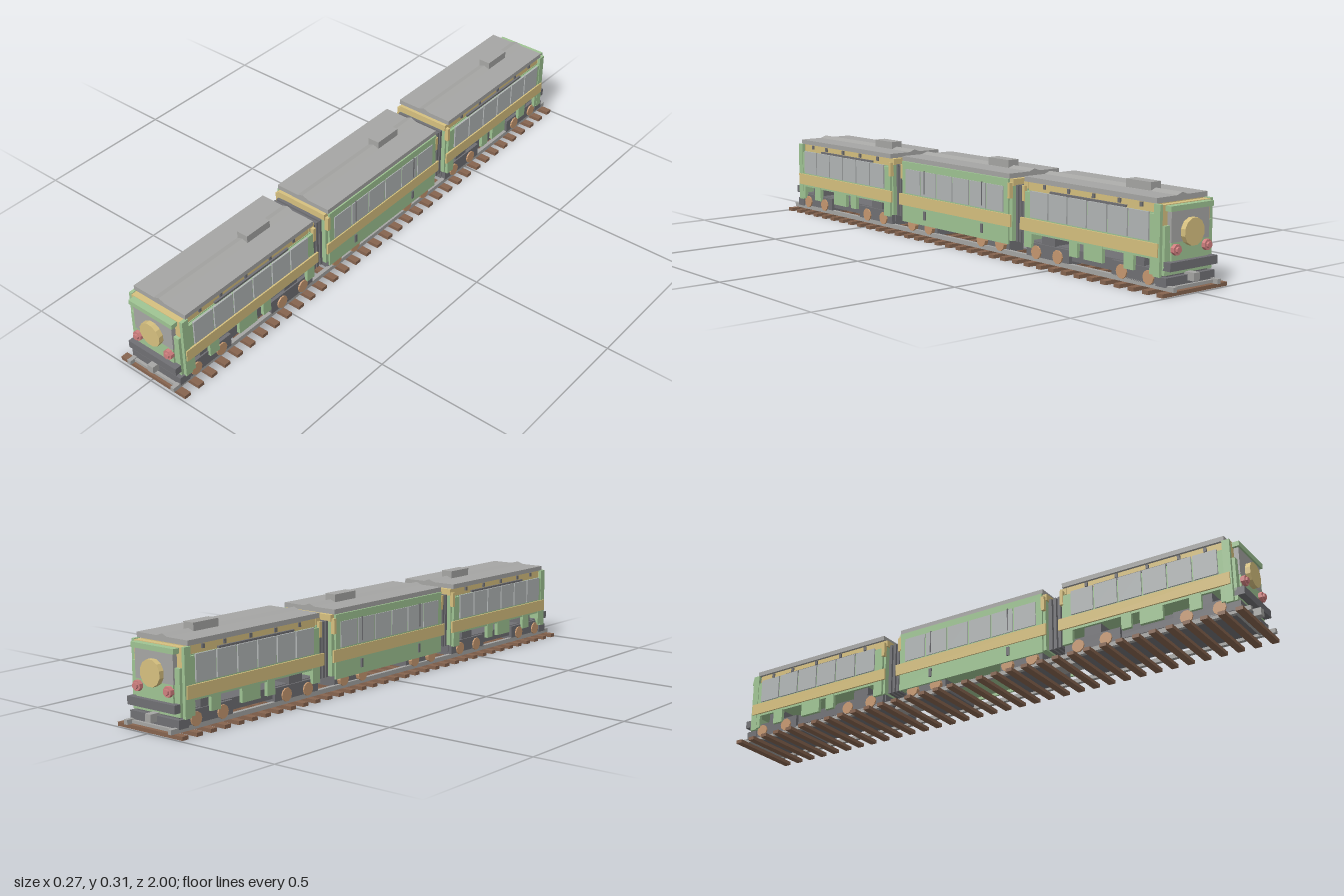
import * as THREE from 'three';

const mat = (name, color) => {
  const m = new THREE.MeshStandardMaterial({ color, flatShading: true });
  m.name = name;
  return m;
};

export function createModel() {
  const green = mat('paleGreen', 0x9fc493), grey = mat('grey', 0xa6a6a4), glass = mat('windowGrey', 0xb2b6b6);
  const dark = mat('darkGrey', 0x707074), tan = mat('tan', 0xd6c07f), brown = mat('brown', 0x86644f);
  const red = mat('red', 0xd07f7f), copper = mat('copper', 0xc69870);
  const root = new THREE.Group();
  root.name = 'tramTrain';

  const add = (parent, name, geo, material, x = 0, y = 0, z = 0) => {
    const m = new THREE.Mesh(geo, material);
    m.name = name;
    m.position.set(x, y, z);
    parent.add(m);
    return m;
  };
  // box given by its min and max on each axis
  const box = (parent, name, material, x0, x1, y0, y1, z0, z1) =>
    add(parent, name, new THREE.BoxGeometry(x1 - x0, y1 - y0, z1 - z0), material,
      (x0 + x1) / 2, (y0 + y1) / 2, (z0 + z1) / 2);
  // same box on both sides of the car
  const pair = (parent, name, material, x0, x1, ...rest) => {
    box(parent, name + 'Left', material, x0, x1, ...rest);
    box(parent, name + 'Right', material, -x1, -x0, ...rest);
  };
  const disc = (parent, name, material, r, depth, sides, x, y, z) => {
    const g = new THREE.CylinderGeometry(r, r, depth, sides);
    g.rotateY(Math.PI / sides).rotateX(Math.PI / 2);
    return add(parent, name, g, material, x, y, z);
  };
  // polygon in x, y pulled along z
  const prism = (parent, name, material, pts, z0, z1) => add(parent, name,
    new THREE.ExtrudeGeometry(new THREE.Shape(pts.map(p => new THREE.Vector2(...p))),
      { depth: z1 - z0, bevelEnabled: false }), material, 0, 0, z0);

  // Track
  const track = new THREE.Group();
  track.name = 'track';
  root.add(track);
  for (let i = 0; i < 35; i++) {
    const z = -0.98 + i * 0.0576;
    box(track, 'sleeper', brown, -0.137, 0.137, 0, 0.012, z - 0.012, z + 0.012);
  }
  pair(track, 'rail', grey, 0.086, 0.1, 0.012, 0.027, -1, 1);

  // Roof with ridge, shared by every car
  const roof = (car) => {
    box(car, 'roof', grey, -0.107, 0.107, 0.263, 0.279, -0.287, 0.287);
    prism(car, 'roofRidge', grey, [[-0.022, 0.279], [0.022, 0.279], [0, 0.287]], -0.287, 0.287);
  };
  const wheels = (car, positions) => {
    for (const z of positions) for (const s of [-1, 1]) {
      const g = new THREE.CylinderGeometry(0.022, 0.022, 0.014, 10).rotateZ(Math.PI / 2);
      add(car, 'wheel', g, copper, s * 0.098, 0.042, z);
    }
  };
  // Tan eave and green corner posts at a joint end
  const jointEnd = (car, s) => {
    const z = (a, b) => s > 0 ? [a, b] : [-b, -a];
    box(car, 'jointEave', tan, -0.1, 0.1, 0.24, 0.262, ...z(0.275, 0.298));
    box(car, 'jointWall', green, -0.1, 0.1, 0.06, 0.24, ...z(0.28, 0.293));
    pair(car, 'cornerPost', tan, 0.098, 0.112, 0.2, 0.25, ...z(0.282, 0.294));
  };
  const windows = (car, count, z0, z1) => {
    const step = (z1 - z0) / count;
    for (let i = 0; i < count; i++)
      pair(car, 'window', glass, 0.108, 0.114, 0.153, 0.237, z0 + i * step + 0.003, z0 + (i + 1) * step - 0.003);
  };

  // Middle car: deep green body with full skirt
  const middleCar = () => {
    const car = new THREE.Group();
    car.name = 'middleCar';
    box(car, 'body', green, -0.104, 0.104, 0.06, 0.263, -0.28, 0.28);
    pair(car, 'sidePanel', green, 0.104, 0.111, 0.05, 0.262, -0.285, 0.285);
    windows(car, 6, -0.265, 0.265);
    pair(car, 'stripe', tan, 0.109, 0.115, 0.108, 0.148, -0.3, 0.3);
    for (const z of [-0.155, 0.155]) {
      pair(car, 'doorHandle', dark, 0.11, 0.1155, 0.07, 0.1, z - 0.005, z + 0.005);
      pair(car, 'doorLine', dark, 0.11, 0.1155, 0.16, 0.24, z - 0.002, z + 0.002);
    }
    for (const z of [-0.188, 0.192]) box(car, 'bogie', dark, -0.09, 0.09, 0.02, 0.06, z - 0.08, z + 0.08);
    wheels(car, [-0.235, -0.14, 0.145, 0.24]);
    jointEnd(car, 1);
    jointEnd(car, -1);
    roof(car);
    return car;
  };

  // End car: cab faces +z
  const endCar = (name) => {
    const car = new THREE.Group();
    car.name = name;
    box(car, 'body', green, -0.1, 0.1, 0.105, 0.235, -0.28, 0.29);
    box(car, 'upperBody', tan, -0.098, 0.098, 0.235, 0.263, -0.275, 0.28);
    pair(car, 'sidePanel', green, 0.1, 0.109, 0.1, 0.232, -0.285, 0.295);
    pair(car, 'windowRail', dark, 0.098, 0.106, 0.236, 0.243, -0.17, 0.16);
    windows(car, 6, -0.255, 0.265);
    pair(car, 'stripe', tan, 0.109, 0.115, 0.108, 0.148, -0.3, 0.3);
    for (const z of [-0.2, -0.09, 0.02, 0.13, 0.22])
      pair(car, 'eaveBracket', dark, 0.098, 0.103, 0.246, 0.26, z - 0.005, z + 0.005);
    for (const [z0, z1] of [[-0.285, -0.25], [-0.075, -0.04], [-0.01, 0.07], [0.16, 0.2], [0.265, 0.295]])
      pair(car, 'skirtPanel', green, 0.098, 0.11, 0.055, 0.108, z0, z1);
    box(car, 'underframe', dark, -0.088, 0.088, 0.035, 0.072, -0.29, 0.31);
    for (const z of [-0.185, 0.2]) {
      box(car, 'bogie', dark, -0.1, 0.1, 0.022, 0.07, z - 0.1, z + 0.1);
      box(car, 'bogieTop', dark, -0.095, 0.095, 0.07, 0.105, z - 0.03, z + 0.03);
    }
    wheels(car, [-0.235, -0.135, 0.145, 0.255]);
    jointEnd(car, -1);
    // Cab front
    box(car, 'cabFace', green, -0.1, 0.1, 0.055, 0.2, 0.29, 0.315);
    box(car, 'cabHead', tan, -0.1, 0.1, 0.2, 0.26, 0.285, 0.305);
    pair(car, 'cabPost', green, 0.1, 0.111, 0.05, 0.262, 0.28, 0.305);
    box(car, 'windshield', grey, -0.08, 0.08, 0.15, 0.245, 0.305, 0.321);
    box(car, 'visor', green, -0.09, 0.09, 0.242, 0.258, 0.3, 0.328);
    box(car, 'lowerFace', green, -0.078, 0.078, 0.095, 0.15, 0.31, 0.321);
    disc(car, 'frontDisc', tan, 0.042, 0.018, 12, 0, 0.177, 0.329);
    for (const x of [-0.065, 0.065]) {
      disc(car, 'lamp', red, 0.017, 0.014, 8, x, 0.13, 0.326);
      disc(car, 'lampLens', red, 0.01, 0.01, 8, x, 0.13, 0.335);
    }
    box(car, 'bumper', dark, -0.1, 0.1, 0.07, 0.096, 0.3, 0.338);
    box(car, 'apron', dark, -0.103, 0.103, 0.022, 0.05, 0.285, 0.325);
    box(car, 'apronStep', grey, -0.09, 0.09, 0.014, 0.024, 0.3, 0.335);
    box(car, 'coupler', grey, -0.012, 0.012, 0.033, 0.058, 0.3, 0.35);
    roof(car);
    return car;
  };

  const front = endCar('frontCar'), rear = endCar('rearCar');
  front.position.z = 0.647;
  rear.position.z = -0.647;
  rear.rotation.y = Math.PI;
  root.add(front, middleCar(), rear);

  // Roof units
  for (const z of [0.52, -0.13, -0.775])
    box(root, 'roofUnit', grey, -0.021, 0.021, 0.279, 0.305, z - 0.052, z + 0.052);

  // Folded gangways and drawbars between the cars
  for (const s of [-1, 1]) {
    const c = s * 0.323;
    for (const d of [-0.016, 0, 0.016])
      box(root, 'gangwayFold', dark, -0.092, 0.092, 0.06, 0.243, c + d - 0.005, c + d + 0.005);
    box(root, 'gangwayCore', dark, -0.082, 0.082, 0.066, 0.236, c - 0.03, c + 0.03);
    box(root, 'drawbar', grey, -0.03, 0.03, 0.025, 0.048, c - 0.055, c + 0.055);
  }
  return root;
}
